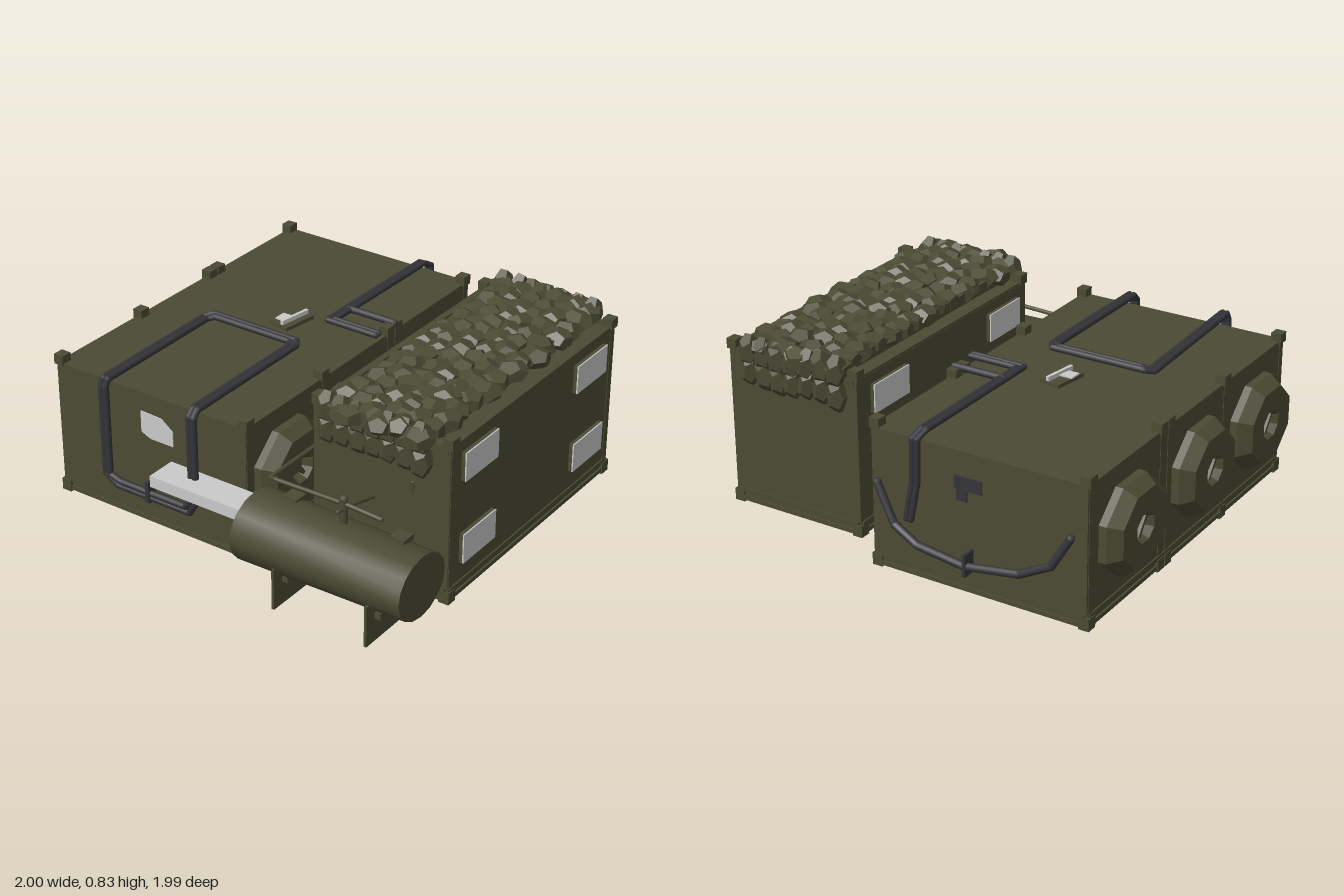
import * as THREE from 'three';
import { toCreasedNormals } from 'three/addons/utils/BufferGeometryUtils.js';

const mat = (name, color) => new THREE.MeshStandardMaterial({ name, color });

export function createModel() {
  const olive = mat('olive', 0x4a4a34);
  const dark = mat('dark pipe', 0x35353a);
  const pale = mat('pale grey', 0xcacaca);
  const model = new THREE.Group();

  const add = (name, geo, material, x = 0, y = 0, z = 0, parent = model) => {
    const m = new THREE.Mesh(geo, material);
    m.name = name;
    m.position.set(x, y, z);
    parent.add(m);
    return m;
  };
  // Box given by its minimum and maximum corners
  const box = (name, material, x0, x1, y0, y1, z0, z1, parent = model) =>
    add(name, new THREE.BoxGeometry(x1 - x0, y1 - y0, z1 - z0), material,
      (x0 + x1) / 2, (y0 + y1) / 2, (z0 + z1) / 2, parent);
  const group = (name) => {
    const g = new THREE.Group();
    g.name = name;
    model.add(g);
    return g;
  };
  // Bent pipe: straight runs with round joints
  const pipe = (name, points, r, material) => {
    const g = group(name);
    const v = points.map((p) => new THREE.Vector3(...p));
    const up = new THREE.Vector3(0, 1, 0);
    for (let i = 0; i < v.length; i++) {
      add('joint', new THREE.SphereGeometry(r, 8, 6), material, ...points[i], g);
      if (!i) continue;
      const d = v[i].clone().sub(v[i - 1]);
      const run = add('run', new THREE.CylinderGeometry(r, r, d.length(), 8), material, 0, 0, 0, g);
      run.position.copy(v[i]).add(v[i - 1]).multiplyScalar(0.5);
      run.quaternion.setFromUnitVectors(up, d.normalize());
    }
    return g;
  };

  // Underframe: edge rails with a grid of beams below the floor
  const underframe = (name, x0, x1, z0, z1, nLong, nCross) => {
    const g = group(name);
    for (const y of [0.015, 0.055]) {
      const h = y + 0.02;
      for (const x of [x0, x1]) box('sideRail', olive, x - 0.017, x + 0.017, y, h, z0, z1, g);
      for (const z of [z0, z1]) box('endRail', olive, x0, x1, y, h, z - 0.017, z + 0.017, g);
    }
    for (const x of [x0, x1]) box('sideWeb', olive, x - 0.008, x + 0.008, 0.02, 0.07, z0, z1, g);
    for (const z of [z0, z1]) box('endWeb', olive, x0, x1, 0.02, 0.07, z - 0.008, z + 0.008, g);
    for (let i = 1; i <= nLong; i++) {
      const x = x0 + ((x1 - x0) * i) / (nLong + 1);
      box('longBeam', olive, x - 0.015, x + 0.015, 0.02, 0.08, z0, z1, g);
    }
    for (let i = 1; i <= nCross; i++) {
      const z = z0 + ((z1 - z0) * i) / (nCross + 1);
      box('crossBeam', olive, x0, x1, 0.03, 0.08, z - 0.012, z + 0.012, g);
    }
  };
  // Post with a cap on top and a foot
  const post = (x, z, top, parent) => {
    box('post', olive, x - 0.016, x + 0.016, 0.01, top, z - 0.016, z + 0.016, parent);
    box('postCap', olive, x - 0.024, x + 0.024, top - 0.045, top, z - 0.026, z + 0.026, parent);
    box('postFoot', olive, x - 0.024, x + 0.024, 0.005, 0.06, z - 0.026, z + 0.026, parent);
  };

  // Large tank
  box('largeTank', olive, -0.91, 0.1, 0.07, 0.638, -0.925, 0.755);
  underframe('largeTankUnderframe', -0.9, 0.09, -0.91, 0.74, 4, 8);
  const tankPosts = group('largeTankPosts');
  for (const x of [-0.897, 0.087])
    for (const z of [-0.9, -0.34, -0.28, 0.21, 0.735]) post(x, z, 0.675, tankPosts);

  // Octagonal side bulges with sunken hubs
  const profile = [[0.235, 0], [0.235, 0.035], [0.19, 0.09], [0.075, 0.09], [0.05, 0.05], [0, 0.05]]
    .map((p) => new THREE.Vector2(...p));
  const bulgeGeo = toCreasedNormals(new THREE.LatheGeometry(profile, 8, Math.PI / 8), 0.6);
  for (const [x, s] of [[-0.91, -1], [0.1, 1]]) {
    for (const z of [-0.625, -0.035, 0.485]) {
      const b = group('sideBulge');
      b.position.set(x, 0.355, z);
      b.scale.set(1, 0.9, 1);
      add('bulgeShell', bulgeGeo, olive, 0, 0, 0, b).rotation.z = (-s * Math.PI) / 2;
      const bar = box('hubBar', olive, -0.012, 0.012, -0.05, 0.05, -0.008, 0.008, b);
      bar.position.x = s * 0.065;
      bar.rotation.x = 0.6;
    }
  }

  // Hatch on the roof, and the plates on the tank ends
  const hatch = box('roofHatch', olive, -0.365, -0.265, 0.63, 0.655, -0.215, -0.045);
  hatch.rotation.y = -0.15;
  box('roofPlate', pale, -0.37, -0.305, 0.656, 0.662, -0.14, -0.08);
  box('hatchHandle', pale, -0.31, -0.295, 0.655, 0.675, -0.21, -0.05).rotation.y = -0.15;
  const frontShape = new THREE.Shape([[-0.45, 0.55], [-0.45, 0.45], [-0.4, 0.43], [-0.28, 0.43], [-0.28, 0.5], [-0.34, 0.545]]
    .reverse().map((p) => new THREE.Vector2(...p)));
  const plate = new THREE.ExtrudeGeometry(frontShape, { depth: 0.006, bevelEnabled: false });
  add('frontPlate', plate, pale, 0, 0, 0.754);
  box('backPlate', dark, -0.43, -0.3, 0.47, 0.53, -0.931, -0.924);
  box('backPlateTail', dark, -0.36, -0.31, 0.42, 0.48, -0.931, -0.924);

  // Front pipe loop: across the roof, over the edge and down the front
  for (const o of [0, 0.022]) {
    pipe('frontPipeLoop', [
      [-0.61 + o, 0.675, 0.8], [-0.63 + o, 0.665, 0.1], [-0.6 + o, 0.675, 0.065 + o], [-0.15 - o, 0.675, 0.065 + o],
      [-0.125 - o, 0.675, 0.1], [-0.125 - o, 0.67, 0.78], [-0.125 - o, 0.64, 0.81], [-0.125 - o, 0.24, 0.81],
      [-0.17 - o, 0.17 + o, 0.8], [-0.56 + o, 0.17 + o, 0.8], [-0.615 + o, 0.22, 0.81],
      [-0.615 + o, 0.64, 0.81], [-0.61 + o, 0.675, 0.8],
    ], 0.015, dark);
  }
  box('frontPipeClip', dark, -0.395, -0.375, 0.15, 0.25, 0.77, 0.82);

  // Rear pipes: roof ladder and a U-shaped run on the back
  for (const o of [0, 0.022]) {
    pipe('rearRoofPipe', [
      [0.1, 0.675, -0.175 - o], [-0.155 + o, 0.675, -0.175 - o], [-0.15 + o, 0.675, -0.9],
      [-0.14 + o, 0.65, -0.95], [-0.13 + o, 0.45, -0.94], [-0.1 + o, 0.28, -0.945],
    ], 0.014, dark);
  }
  pipe('rearRoofCrossPipe', [[-0.14, 0.675, -0.32], [0.1, 0.675, -0.32]], 0.016, dark);
  pipe('rearPipe', [
    [0.07, 0.4, -0.935], [-0.02, 0.24, -0.95], [-0.14, 0.18, -0.96], [-0.38, 0.16, -0.975],
    [-0.62, 0.19, -0.96], [-0.76, 0.26, -0.945], [-0.84, 0.4, -0.935],
  ], 0.018, dark);
  box('rearPipeClip', dark, -0.39, -0.375, 0.12, 0.22, -0.995, -0.93);

  // Tall container
  box('container', olive, 0.285, 0.945, 0.07, 0.725, -0.765, 0.54);
  underframe('containerUnderframe', 0.295, 0.935, -0.755, 0.53, 3, 8);
  const conPosts = group('containerPosts');
  for (const x of [0.302, 0.932]) {
    for (const z of [-0.745, 0.52]) post(x, z, 0.77, conPosts);
    box('topRail', olive, x - 0.015, x + 0.015, 0.7, 0.735, -0.76, 0.535, conPosts);
  }
  for (const z of [-0.755, 0.53]) box('topEndRail', olive, 0.3, 0.935, 0.7, 0.735, z - 0.015, z + 0.015, conPosts);

  // Pale side plates on raised backing boards
  for (const s of [-1, 1])
    for (const [z0, z1] of [[0.215, 0.46], [-0.67, -0.42]])
      for (const [y0, y1] of [[0.55, 0.68], [0.165, 0.3]]) {
        const x = 0.615 + s * 0.338;
        box('plateBacking', olive, x - 0.009, x + 0.009, y0, y1, z0, z1);
        const xp = x + s * 0.012;
        box('sidePlate', pale, xp - 0.003, xp + 0.003, y0, y1, z0, z1);
      }

  // Heap of bundled cover on the container roof, hanging over both ends
  let seed = 7;
  const rnd = () => (seed = (seed * 16807) % 2147483647) / 2147483647;
  const heap = group('coverHeap');
  const lump = new THREE.DodecahedronGeometry(1);
  const addLump = (x, y, z, sx, sy, sz) => {
    const m = add('coverFold', lump, olive, x, y, z, heap);
    m.scale.set(sx, sy, sz);
    m.rotation.set((rnd() - 0.5) * 0.3, rnd() * 3, (rnd() - 0.5) * 0.3);
  };
  box('heapCore', olive, 0.37, 0.85, 0.7, 0.775, -0.78, 0.58, heap);
  for (let i = 0; i < 6; i++)
    for (let j = 0; j < 15; j++) {
      const x = 0.405 + i * 0.085 + (rnd() - 0.5) * 0.035;
      const z = -0.765 + j * 0.095 + (i % 2) * 0.03 + (rnd() - 0.5) * 0.03;
      const edge = i === 0 || i === 5 ? -0.012 : 0;
      addLump(x, 0.768 + edge + rnd() * 0.012, z, 0.065 + rnd() * 0.015, 0.05, 0.06 + rnd() * 0.012);
    }
  for (const [z, sign] of [[0.565, 1], [-0.775, -1]])
    for (let i = 0; i < 7; i++) {
      const x = 0.375 + i * 0.075;
      for (const [y, out] of [[0.74, 0.005], [0.645, 0]]) {
        const m = add('hangingFold', lump, olive, x, y + rnd() * 0.02, z + sign * out, heap);
        m.scale.set(0.047, 0.08, 0.05);
        m.rotation.z = (rnd() - 0.5) * 0.4;
      }
    }

  // Fuel drum lying on two plate legs
  const drum = group('drum');
  const drumGeo = toCreasedNormals(new THREE.CylinderGeometry(0.16, 0.173, 0.81, 16), 0.8);
  const shell = add('drumShell', drumGeo, olive, 0.595, 0.26, 0.815, drum);
  shell.rotation.z = -Math.PI / 2;
  shell.scale.set(0.87, 1, 1.03);
  for (const x of [0.4, 0.85]) {
    box('drumLeg', olive, x - 0.006, x + 0.006, 0.012, 0.2, 0.65, 0.985, drum);
    box('drumFoot', olive, x - 0.035, x + 0.035, 0.12, 0.15, 0.7, 0.93, drum);
  }
  for (const x of [0.335, 0.855]) box('drumLug', olive, x - 0.035, x + 0.035, 0.385, 0.41, 0.71, 0.78, drum);

  // Thin filler line above the drum
  pipe('fillerLine', [[0.235, 0.47, 0.24], [0.235, 0.47, 0.77], [0.27, 0.48, 0.785], [0.62, 0.49, 0.79], [0.79, 0.48, 0.79]], 0.01, olive);
  pipe('fillerRiser', [[0.61, 0.38, 0.79], [0.61, 0.51, 0.79]], 0.018, olive);
  pipe('fillerBranch', [[0.62, 0.43, 0.6], [0.61, 0.47, 0.79], [0.61, 0.47, 0.83]], 0.009, olive);
  pipe('fillerEnd', [[0.77, 0.43, 0.53], [0.77, 0.52, 0.54]], 0.009, olive);

  // Pale block bridging the tank and the drum
  box('paleBlock', pale, -0.295, 0.19, 0.302, 0.355, 0.757, 0.9);
  return model;
}
